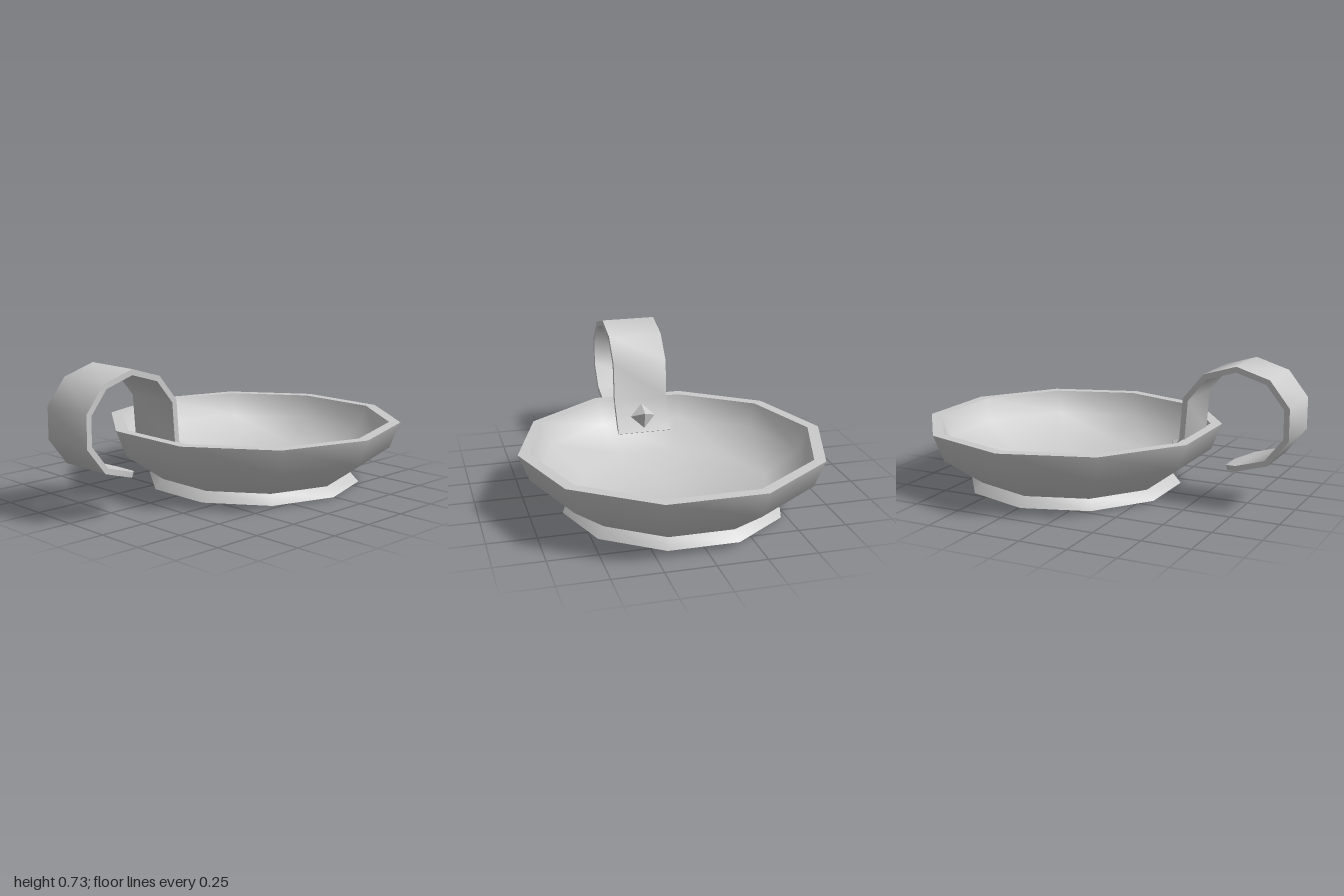
import * as THREE from 'three';
import { toCreasedNormals } from 'three/addons/utils/BufferGeometryUtils.js';

const CREASE = 0.96;

// Sweeps a rectangular strip along a path of [z, y, half width] points (outer face).
function stripGeometry(path, thickness) {
  const pts = path.map(([z, y]) => new THREE.Vector2(z, y));
  const inward = (i) => {
    const d = pts[i + 1].clone().sub(pts[i]).normalize();
    return new THREE.Vector2(d.y, -d.x);
  };
  const last = pts.length - 1;
  const positions = [];
  const indices = [];
  pts.forEach((p, i) => {
    const a = inward(Math.max(i - 1, 0));
    const b = inward(Math.min(i, last - 1));
    const miter = a.clone().add(b).normalize();
    const q = p.clone().addScaledVector(miter, thickness / miter.dot(a));
    const w = path[i][2];
    positions.push(-w, p.y, p.x, w, p.y, p.x, w, q.y, q.x, -w, q.y, q.x);
    if (i === last) return;
    for (let k = 0; k < 4; k++) {
      const a0 = i * 4 + k, b0 = i * 4 + (k + 1) % 4;
      indices.push(a0, a0 + 4, b0 + 4, a0, b0 + 4, b0);
    }
  });
  // end caps
  const e = last * 4;
  indices.push(0, 1, 2, 0, 2, 3, e, e + 2, e + 1, e, e + 3, e + 2);
  const geo = new THREE.BufferGeometry();
  geo.setAttribute('position', new THREE.Float32BufferAttribute(positions, 3));
  geo.setIndex(indices);
  return toCreasedNormals(geo, CREASE);
}

export function createModel() {
  const group = new THREE.Group();
  const material = new THREE.MeshStandardMaterial({ color: 0xcccccc });
  const add = (name, geometry, mat = material) => {
    const mesh = new THREE.Mesh(geometry, mat);
    mesh.name = name;
    group.add(mesh);
    return mesh;
  };

  // ten-sided dish: foot, outer wall, flat rim and hollow
  const profile = [
    [0, 0], [0.58, 0], [0.535, 0.05], [0.74, 0.195], [0.795, 0.335],
    [0.735, 0.335], [0.69, 0.21], [0.51, 0.085], [0, 0.08],
  ].map(([r, y]) => new THREE.Vector2(r, y));
  const dish = add('dish', toCreasedNormals(new THREE.LatheGeometry(profile, 10, Math.PI / 2), CREASE));
  dish.position.z = -0.245;

  // curled strap handle, from inside the dish to its clipped tip
  add('handle', stripGeometry([
    [0.34, 0.168, 0.15], [0.432, 0.335, 0.15], [0.448, 0.545, 0.15],
    [0.555, 0.675, 0.15], [0.725, 0.727, 0.15], [0.896, 0.675, 0.15],
    [0.999, 0.545, 0.15], [0.999, 0.382, 0.15], [0.896, 0.25, 0.15],
    [0.74, 0.204, 0.15], [0.658, 0.178, 0.06],
  ], 0.028));

  // faceted rivet fixing the strap to the wall
  const rivet = add('rivet', new THREE.OctahedronGeometry(0.07),
    new THREE.MeshStandardMaterial({ color: 0xcccccc, flatShading: true }));
  rivet.scale.z = 0.9;
  rivet.rotation.x = 0.5;
  rivet.position.set(0, 0.25, 0.385);

  return group;
}
